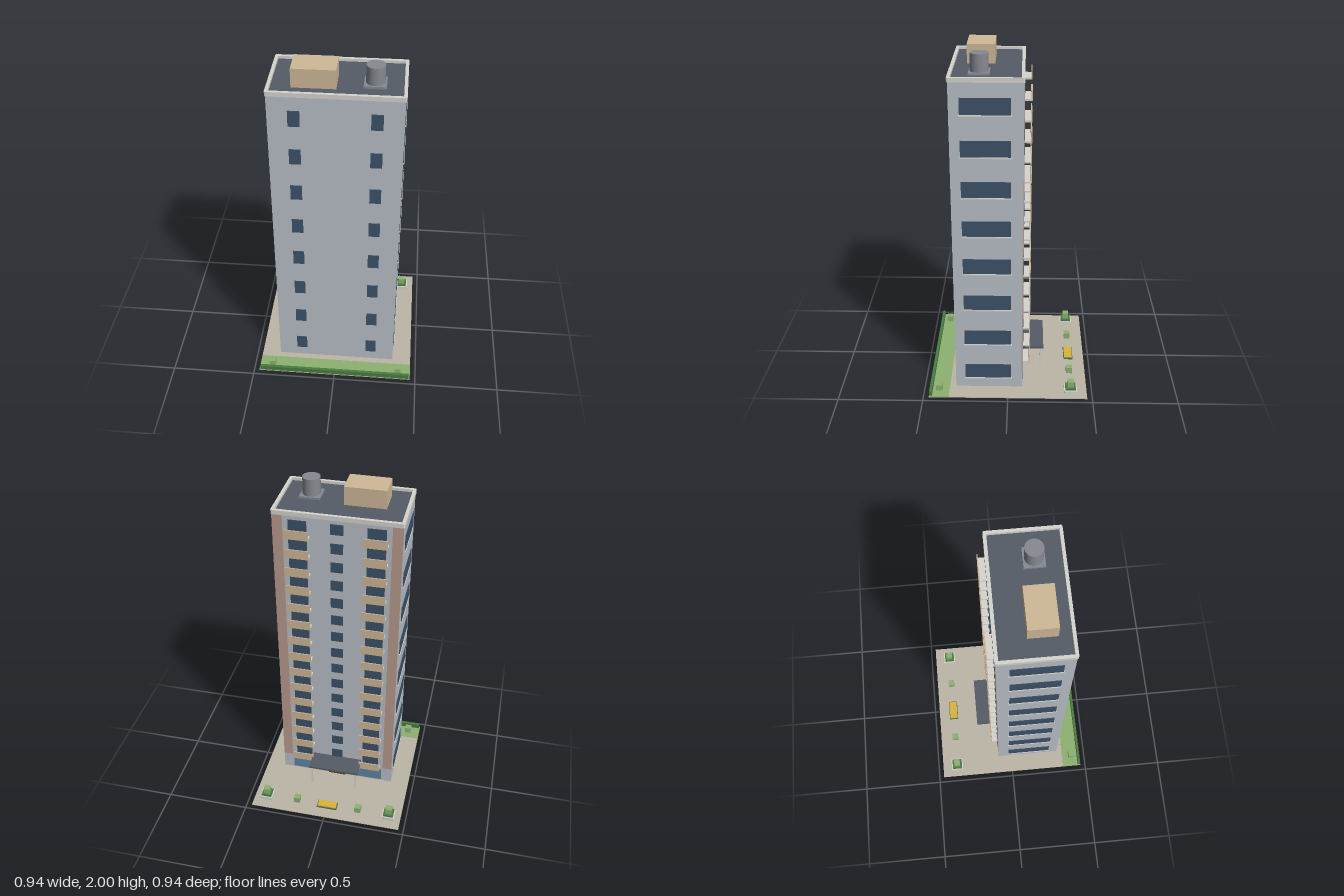
import * as THREE from 'three';

const COLORS = {
  wall: 0xb9bfc7, glass: 0x3b5268, lobbyGlass: 0x5f86a6, trim: 0xd6d5cf, roof: 0x565c67,
  tan: 0xcfb897, pier: 0xb99a8d, tank: 0x868b91, paving: 0xbcb6a7, lawn: 0x8db272,
  hedge: 0x4a7d43, bush: 0x8db272, flowers: 0xdcb33f, door: 0x6b4130,
};
const materials = {};
for (const key in COLORS) materials[key] = new THREE.MeshStandardMaterial({ color: COLORS[key] });

export function createModel() {
  const model = new THREE.Group();
  model.name = 'apartmentTower';

  // Box given by its extents on each axis
  function box(name, mat, [x0, x1], [y0, y1], [z0, z1], parent = model) {
    const mesh = new THREE.Mesh(new THREE.BoxGeometry(x1 - x0, y1 - y0, z1 - z0), materials[mat]);
    mesh.position.set((x0 + x1) / 2, (y0 + y1) / 2, (z0 + z1) / 2);
    mesh.name = name;
    parent.add(mesh);
    return mesh;
  }
  const around = (c, size) => [c - size / 2, c + size / 2];
  // Extents mirrored to the chosen side
  const side = (s, a, b) => (s > 0 ? [a, b] : [-b, -a]);

  const W = 0.355, BACK = -0.085, FRONT = 0.312, ROOF = 1.885, FLOOR = 0.117;

  // Site
  box('paving', 'paving', [-0.468, 0.468], [0, 0.004], [-0.47, 0.468]);
  box('lawn', 'lawn', [-0.468, 0.468], [0.004, 0.006], [0.35, 0.468]);
  box('frontHedge', 'hedge', [-0.461, 0.461], [0.004, 0.036], [0.45, 0.466]);

  // Tower body and roof
  box('towerBody', 'wall', [-W, W], [0.004, ROOF], [BACK, FRONT]);
  box('roofSurface', 'roof', [-0.345, 0.345], [ROOF, 1.89], [-0.075, 0.303]);

  // Parapet ring with softened corners
  const px = 0.36, pz0 = -0.09, pz1 = 0.318, r = 0.01;
  const ring = new THREE.Shape();
  ring.moveTo(-px + r, pz0);
  ring.lineTo(px - r, pz0);
  ring.quadraticCurveTo(px, pz0, px, pz0 + r);
  ring.lineTo(px, pz1 - r);
  ring.quadraticCurveTo(px, pz1, px - r, pz1);
  ring.lineTo(-px + r, pz1);
  ring.quadraticCurveTo(-px, pz1, -px, pz1 - r);
  ring.lineTo(-px, pz0 + r);
  ring.quadraticCurveTo(-px, pz0, -px + r, pz0);
  const opening = new THREE.Path();
  opening.moveTo(-0.342, -0.071);
  opening.lineTo(-0.342, 0.3);
  opening.lineTo(0.342, 0.3);
  opening.lineTo(0.342, -0.071);
  opening.closePath();
  ring.holes.push(opening);
  const parapet = new THREE.Mesh(
    new THREE.ExtrudeGeometry(ring, { depth: 0.025, bevelEnabled: false, curveSegments: 4 }), materials.trim);
  parapet.rotation.x = Math.PI / 2;
  parapet.position.y = 1.906;
  parapet.name = 'parapet';
  model.add(parapet);

  // Rooftop machine room and water tank
  box('machineRoom', 'tan', [-0.236, -0.002], [1.888, 1.997], [0.077, 0.233]);
  box('tankBase', 'tank', [0.135, 0.253], [1.888, 1.902], [0.098, 0.212]);
  const tank = new THREE.Mesh(new THREE.CylinderGeometry(0.05, 0.05, 0.1, 32), materials.tank);
  tank.position.set(0.194, 1.95, 0.155);
  tank.name = 'waterTank';
  model.add(tank);

  // Front and side windows on every second floor
  for (let i = 0; i < 8; i++) {
    const y = 0.07 + i * FLOOR * 2;
    for (const s of [-1, 1]) {
      box('frontWindow', 'glass', around(s * 0.215, 0.063), [y, y + 0.092], [FRONT - 0.005, 0.318]);
      box('sideWindow', 'glass', side(s, W - 0.005, 0.359), [y, y + 0.092], [-0.017, 0.255]);
      box('sideSill', 'trim', side(s, W - 0.005, 0.362), [y - 0.008, y], [-0.023, 0.258]);
    }
  }

  // Back wall: balconies with doors, stair windows
  for (let i = 0; i < 15; i++) {
    const y = 0.13 + i * FLOOR;
    box('stairWindow', 'glass', [-0.035, 0.035], [y + 0.028, y + 0.09], [-0.089, BACK + 0.005]);
    for (const s of [-1, 1]) {
      const balcony = new THREE.Group();
      balcony.name = 'balcony';
      model.add(balcony);
      box('balconyDoor', 'glass', side(s, 0.165, 0.267), [y, y + 0.09], [-0.089, BACK + 0.005], balcony);
      box('balconySlab', 'trim', side(s, 0.148, 0.28), [y - 0.006, y + 0.004], [-0.124, BACK], balcony);
      box('balconyPanel', 'tan', side(s, 0.148, 0.28), [y - 0.006, y + 0.048], [-0.129, -0.123], balcony);
    }
  }
  for (const s of [-1, 1]) {
    box('cornerPier', 'pier', side(s, 0.298, W), [FLOOR, ROOF - 0.004], [-0.088, BACK + 0.005]);
  }

  // Entrance: lobby glazing, door, canopy on posts
  box('lobbyGlazing', 'lobbyGlass', [-0.29, 0.29], [0.012, 0.1], [-0.088, BACK + 0.005]);
  box('entranceDoor', 'door', [-0.055, 0.055], [0.004, 0.105], [-0.091, BACK + 0.005]);
  box('canopy', 'roof', [-0.157, 0.157], [0.145, 0.158], [-0.213, BACK]);
  for (const s of [-1, 1]) {
    box('canopyPost', 'trim', around(s * 0.14, 0.012), [0.004, 0.146], around(-0.195, 0.012));
  }

  // Planting
  const Z = -0.373;
  for (const s of [-1, 1]) {
    const x = s * 0.391;
    box('planter', 'trim', around(x, 0.077), [0.004, 0.027], around(Z, 0.076));
    box('planterHedge', 'hedge', around(x, 0.062), [0.02, 0.039], around(Z, 0.062));
    box('planterBush', 'bush', around(x, 0.038), [0.038, 0.077], around(Z, 0.038));
    box('backBush', 'bush', around(s * 0.195, 0.038), [0.004, 0.042], around(Z, 0.038));
    box('lawnBush', 'bush', around(x, 0.038), [0.005, 0.044], around(0.41, 0.038));
  }
  box('flowerBedEdge', 'hedge', [-0.063, 0.063], [0.004, 0.013], around(Z, 0.057));
  box('flowers', 'flowers', [-0.058, 0.058], [0.01, 0.019], around(Z, 0.049));

  return model;
}
